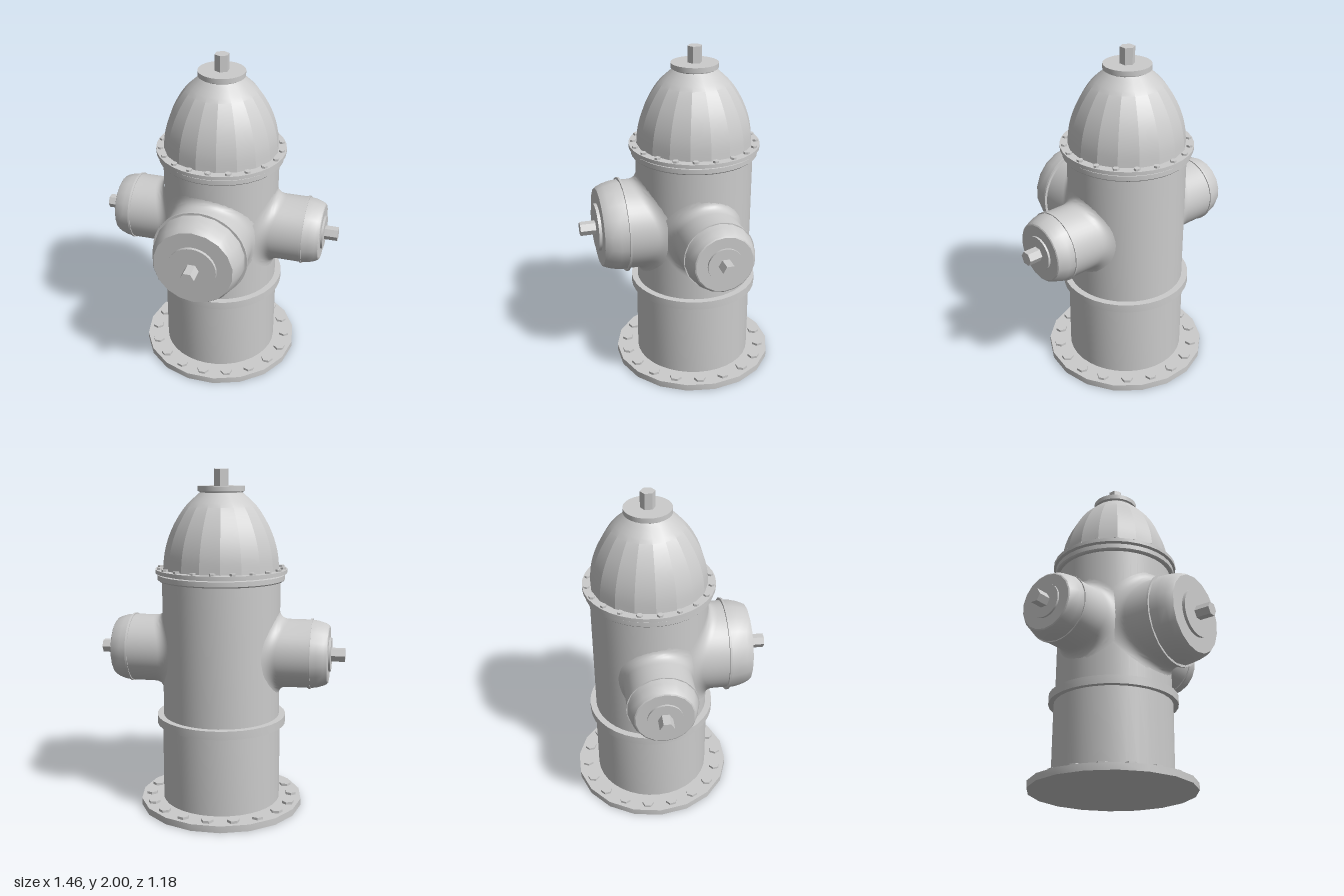
import * as THREE from 'three';
import { toCreasedNormals } from 'three/addons/utils/BufferGeometryUtils.js';

const AXIS_Z = -0.11; // barrel axis, the front outlet pushes it back
const BARREL_R = 0.346;
const material = new THREE.MeshStandardMaterial({ color: 0xcccccc });

function mesh(name, geometry) {
  const m = new THREE.Mesh(geometry, material);
  m.name = name;
  return m;
}

// Turned part: profile of [radius, height] pairs from bottom to top
function turned(name, profile, sides, crease = 0.5, spin = 0) {
  const pts = profile.map(([r, y]) => new THREE.Vector2(r, y));
  const geo = new THREE.LatheGeometry(pts, sides).rotateY(spin);
  return mesh(name, toCreasedNormals(geo, crease));
}

function hexNut(name, radius, height, spin = 0) {
  const geo = new THREE.CylinderGeometry(radius, radius, height, 6).rotateY(spin);
  return mesh(name, toCreasedNormals(geo, 0.5));
}

// Hex bolt heads on a circle; angles start at the back
function boltRing(name, count, ringR, boltR, y, height, offset = 0) {
  const g = new THREE.Group();
  g.name = name;
  for (let i = 0; i < count; i++) {
    const a = offset + (i / count) * Math.PI * 2;
    const bolt = hexNut('bolt', boltR, height, Math.PI / 6 - a);
    bolt.position.set(Math.sin(a) * ringR, y, -Math.cos(a) * ringR);
    g.add(bolt);
  }
  return g;
}

// Flared pipe that blends from the round barrel into a straight outlet along +z
function flaredPipe(radius, end, fillet) {
  const around = 48, steps = 10, pos = [], index = [];
  for (let j = 0; j <= steps + 1; j++) {
    const t = Math.min(j / steps, 1);
    const r = radius + fillet * (1 - t) ** 2;
    for (let i = 0; i <= around; i++) {
      const a = (i / around) * Math.PI * 2;
      const x = Math.cos(a) * r, y = Math.sin(a) * r;
      const wall = Math.sqrt(Math.max(0, BARREL_R ** 2 - x * x)) - 0.002;
      pos.push(x, y, j > steps ? end : wall + fillet * t * t);
    }
  }
  const row = around + 1;
  for (let j = 0; j <= steps; j++) {
    for (let i = 0; i < around; i++) {
      const a = j * row + i, b = a + 1, c = a + row, d = c + 1;
      index.push(a, b, d, a, d, c);
    }
  }
  const geo = new THREE.BufferGeometry();
  geo.setAttribute('position', new THREE.Float32BufferAttribute(pos, 3));
  geo.setIndex(index);
  return mesh('flaredPipe', toCreasedNormals(geo, 0.7));
}

// Outlet pointing along +z: pipe, seam ring, tapered cap, disc and nut
function outlet(name, { r, ring, seam, cap, discR, discEnd, tip }) {
  const g = new THREE.Group();
  g.name = name;
  g.add(flaredPipe(r, seam, 0.06));
  const along = new THREE.Group();
  along.name = 'capAssembly';
  along.rotation.x = Math.PI / 2;
  const face = cap[cap.length - 1][1];
  along.add(
    turned('seamRing', [[0, seam - 0.006], [ring, seam - 0.006], [ring, seam + 0.006], [0, seam + 0.006]], 36),
    turned('cap', [...cap, [0, face]], 18),
    turned('capDisc', [[discR, face - 0.01], [discR, discEnd], [0, discEnd]], 32),
  );
  const nut = hexNut('capNut', 0.042, tip - face, Math.PI / 6);
  nut.position.y = (tip + face) / 2;
  along.add(nut);
  g.add(along);
  return g;
}

export function createModel() {
  const model = new THREE.Group();
  model.name = 'fireHydrant';
  const body = new THREE.Group();
  body.name = 'body';
  body.position.z = AXIS_Z;
  model.add(body);

  // Base plate, barrel and flanges
  body.add(
    turned('basePlate', [[0, 0], [0.488, 0], [0.488, 0.04], [0, 0.04]], 18, 0.5, Math.PI / 18),
    boltRing('baseBolts', 18, 0.425, 0.036, 0.046, 0.018),
    turned('lowerBarrel', [[0.353, 0.03], [0.353, 0.53]], 36),
    turned('barrelBand', [[0.3, 0.51], [0.384, 0.51], [0.384, 0.56], [0.3, 0.56]], 36),
    turned('upperBarrel', [[BARREL_R, 0.54], [BARREL_R, 1.38]], 48),
    turned('lowerFlange', [[0.3, 1.365], [0.365, 1.365], [0.372, 1.372], [0.372, 1.4], [0.355, 1.403], [0.355, 1.415]], 36),
    turned('upperFlange', [[0.3, 1.41], [0.385, 1.41], [0.385, 1.432], [0.3, 1.432]], 36),
    boltRing('flangeBolts', 20, 0.36, 0.018, 1.436, 0.016, -0.055),
  );

  // Faceted bonnet: flat panels around, smooth from bottom to top
  const curve = new THREE.SplineCurve([
    [0.34, 1.425], [0.331, 1.52], [0.308, 1.61], [0.268, 1.7], [0.208, 1.79], [0.125, 1.868],
  ].map(([r, y]) => new THREE.Vector2(r, y)));
  const bonnetProfile = curve.getPoints(20).map((p) => [p.x, p.y]);
  body.add(
    turned('bonnet', bonnetProfile, 18, 0.26, Math.PI / 18),
    turned('bonnetCap', [[0.12, 1.86], [0.125, 1.873], [0.137, 1.876], [0.137, 1.905], [0, 1.905]], 36),
  );
  const topNut = hexNut('topNut', 0.043, 0.1);
  topNut.position.y = 1.95;
  body.add(topNut);

  // Large front outlet
  const front = outlet('frontOutlet', {
    r: 0.267, ring: 0.283, seam: 0.447, discR: 0.142, discEnd: 0.608, tip: 0.7,
    cap: [[0.272, 0.447], [0.268, 0.5], [0.255, 0.55], [0.241, 0.582], [0.235, 0.59]],
  });
  front.position.set(-0.005, 0.945, AXIS_Z);
  model.add(front);

  // Matching side outlets
  for (const [name, side] of [['leftOutlet', 1], ['rightOutlet', -1]]) {
    const o = outlet(name, {
      r: 0.2, ring: 0.206, seam: 0.533, discR: 0.1, discEnd: 0.65, tip: 0.73,
      cap: [[0.202, 0.535], [0.196, 0.575], [0.183, 0.615], [0.172, 0.634], [0.165, 0.638]],
    });
    o.position.set(0, 0.942, AXIS_Z + 0.008);
    o.rotation.y = (side * Math.PI) / 2;
    model.add(o);
  }
  return model;
}
